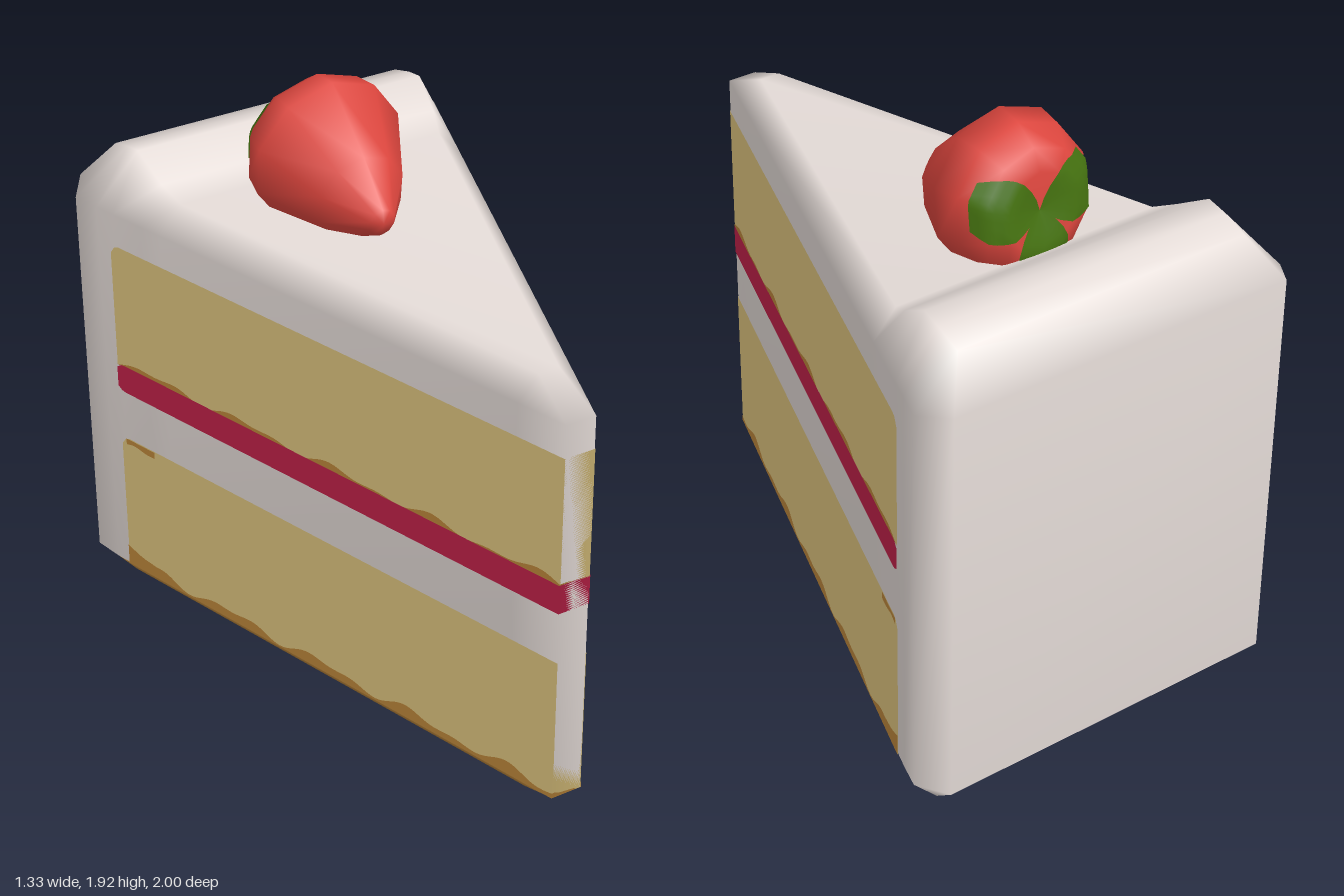
import * as THREE from 'three';
import { mergeVertices } from 'three/addons/utils/BufferGeometryUtils.js';

const mat = (name, color, side = THREE.FrontSide) => {
  const m = new THREE.MeshStandardMaterial({ color, side });
  m.name = name;
  return m;
};

const SLOPE = 0.3237;
const halfWidth = (z) => 0.05 + (1 - z) * SLOPE;

function buildGeometry(positions, index) {
  const g = new THREE.BufferGeometry();
  g.setAttribute('position', new THREE.Float32BufferAttribute(positions, 3));
  g.setIndex(index);
  return g;
}

// Wedge lofted along z: [z, bottom half width, side half width, top half width, four heights]
function wedgeGeometry() {
  const row = (z, top, inset = 0.08) => {
    const w = halfWidth(z);
    return [z, w - 0.065, w, w - inset, 0, 0.08, 1.44, top];
  };
  const sections = [
    [1, 0.05, 0.05, 0.05, 0.08, 0.08, 1.44, 1.44],
    row(0.83, 1.515, 0.07),
    row(-0.54, 1.53),
    row(-0.62, 1.57),
    row(-0.74, 1.64, 0.1),
    row(-0.81, 1.625, 0.12),
    [-0.9, 0.58, 0.665, 0.515, 0, 0.09, 1.44, 1.595],
    [-1, 0.6, 0.6, 0.6, 0.09, 0.09, 1.46, 1.46],
  ];
  const pos = [];
  for (const [z, wb, w, wt, y0, y1, y2, y3] of sections) {
    const half = [[wb, y0], [w, y1], [w, y2], [wt, y3]];
    for (const [x, y] of half) pos.push(x, y, z);
    for (const [x, y] of half.slice().reverse()) pos.push(-x, y, z);
  }
  const cream = [], crust = [], last = (sections.length - 1) * 8;
  for (let i = 0; i < sections.length - 1; i++) {
    for (let j = 0; j < 8; j++) {
      const k = (j + 1) % 8;
      const a = i * 8 + j, b = i * 8 + k, c = b + 8, d = a + 8;
      const underside = j === 7 && i < 6;
      const lowerBevel = (j === 0 || j === 6) && i < 5;
      (underside || lowerBevel ? crust : cream).push(a, d, c, a, c, b);
    }
  }
  for (let k = 1; k < 7; k++) cream.push(0, k, k + 1, last, last + k + 1, last + k);
  const g = buildGeometry(pos, [...cream, ...crust]);
  g.addGroup(0, cream.length, 0);
  g.addGroup(cream.length, crust.length, 1);
  const merged = mergeVertices(g, 1e-4);
  merged.computeVertexNormals();
  return merged;
}

// Thin band running along one side, round the tip and back along the other
function bandGeometry(low, high, offset, zEnd = -0.755, zStart = 1, wrap = true) {
  const n = 110, pos = [], nor = [], idx = [], normal = new THREE.Vector3();
  const add = (side, t) => {
    const z = zEnd + (zStart - zEnd) * t;
    normal.set(side, 0, SLOPE).normalize();
    const x = side * (halfWidth(z) + offset);
    const zz = z === 1 ? 1 + offset : z;
    const y0 = low(z);
    for (const y of [y0, Math.max(y0, high(z))]) {
      pos.push(x, y, zz);
      nor.push(normal.x, 0, normal.z);
    }
  };
  for (let i = 0; i <= n; i++) add(1, i / n);
  for (let i = n; i >= 0; i--) add(-1, i / n);
  for (let i = 0; i < 2 * n + 1; i++) {
    if (i === n && !wrap) continue;
    const a = i * 2;
    idx.push(a, a + 3, a + 2, a, a + 1, a + 3);
  }
  const g = buildGeometry(pos, idx);
  g.setAttribute('normal', new THREE.Float32BufferAttribute(nor, 3));
  return g;
}

// Berry rings: z, centre height, radius, from the tip to the hollow at the stalk
const RINGS = [
  [-0.033, 1.58, 0], [-0.045, 1.58, 0.045], [-0.17, 1.605, 0.15], [-0.375, 1.667, 0.258],
  [-0.465, 1.675, 0.24], [-0.535, 1.675, 0.19], [-0.56, 1.675, 0.125], [-0.54, 1.675, 0],
];
const SIDES = 10, BERRY_X = -0.035;

function berryCorner(i, k) {
  const [z, y, r] = RINGS[i];
  const a = Math.PI / 2 + (k / SIDES) * Math.PI * 2;
  const dy = Math.sin(a) * r;
  return new THREE.Vector3(BERRY_X + Math.cos(a) * r, y + dy, z + 0.12 * dy);
}

// Point on the faceted berry at fractional ring u and fractional side k
function berryPoint(u, k) {
  const i = Math.min(Math.floor(u), RINGS.length - 2), j = Math.floor(k);
  const edge = (r) => berryCorner(r, j).lerp(berryCorner(r, j + 1), k - j);
  return edge(i).lerp(edge(i + 1), u - i);
}

function berryGeometry() {
  const pos = [], idx = [];
  RINGS.forEach((_, i) => {
    for (let k = 0; k < SIDES; k++) pos.push(...berryCorner(i, k).toArray());
  });
  for (let i = 0; i < RINGS.length - 1; i++) {
    for (let k = 0; k < SIDES; k++) {
      const a = i * SIDES + k, b = i * SIDES + ((k + 1) % SIDES);
      idx.push(a, a + SIDES, b + SIDES, a, b + SIDES, b);
    }
  }
  const g = mergeVertices(buildGeometry(pos, idx), 1e-4);
  g.computeVertexNormals();
  return g;
}

// Leaf draped over the stalk end, tapering outwards from the hollow
function leafGeometry(middle, reach) {
  const pos = [], idx = [], rows = 8, cols = 8;
  const centre = new THREE.Vector3(BERRY_X, 1.67, -0.38);
  for (let i = 0; i <= rows; i++) {
    const t = i / rows, u = 7 - reach * t;
    const spread = 1.7 * (1 - t) + 0.55 * t;
    for (let j = 0; j <= cols; j++) {
      const p = berryPoint(u, middle + spread * (j / cols * 2 - 1));
      p.addScaledVector(p.clone().sub(centre).normalize(), 0.007);
      pos.push(...p.toArray());
      if (i < rows && j < cols) {
        const a = i * (cols + 1) + j, b = a + cols + 1;
        idx.push(a, a + 1, b + 1, a, b + 1, b);
      }
    }
  }
  const g = buildGeometry(pos, idx);
  g.computeVertexNormals();
  return g;
}

export function createModel() {
  const cream = mat('cream', 0xe4dbd7);
  const crust = mat('crust', 0xc0893c);
  const sponge = mat('sponge', 0xe2c880, THREE.DoubleSide);
  const crumb = mat('crumb', 0xc0893c, THREE.DoubleSide);
  const jam = mat('jam', 0xc4224a, THREE.DoubleSide);
  const berry = mat('berry', 0xdb453d);
  const leaf = mat('leaf', 0x457210, THREE.DoubleSide);

  const model = new THREE.Group();
  model.name = 'cakeSlice';
  const add = (name, geometry, material) => {
    const mesh = new THREE.Mesh(geometry, material);
    mesh.name = name;
    model.add(mesh);
  };

  add('creamBody', wedgeGeometry(), [cream, crust]);

  // Layers on the cut faces, with rounded ends and ragged baked edges
  const round = (z) => 0.03 * Math.max(0, 1 - (z + 0.755) / 0.03) ** 2;
  const ripple = (z) => Math.sin(z * 17) * 0.6 + Math.sin(z * 31 + 1) * 0.4;
  const flat = (y) => () => y;
  add('lowerSponge', bandGeometry(flat(0.08), (z) => 0.6 - round(z), 0.002), sponge);
  add('upperSponge', bandGeometry(flat(0.88), (z) => 1.328 - round(z), 0.002), sponge);
  add('jamLayer', bandGeometry((z) => 0.782 + round(z) / 2, (z) => 0.885 - round(z) / 2, 0.004), jam);
  add('bottomCrust', bandGeometry(flat(0.08),
    (z) => 0.107 + 0.022 * ripple(z) + 0.05 * Math.max(0, 1 - (z + 0.755) / 0.13), 0.004), crumb);
  add('upperCrumbs', bandGeometry(flat(0.88), (z) => 0.894 + 0.018 * ripple(z + 0.3), 0.003), crumb);
  add('lowerCrumbs', bandGeometry((z) => 0.575 + 0.006 * ripple(z * 2), flat(0.597), 0.003, -0.735, -0.61, false), crumb);

  add('strawberry', berryGeometry(), berry);
  // Two leaves to the sides and one hanging down
  [[2.1, 2.6], [7.9, 2.6], [5, 2.2]].forEach(([side, reach], i) =>
    add(`strawberryLeaf${i + 1}`, leafGeometry(side, reach), leaf));
  return model;
}
